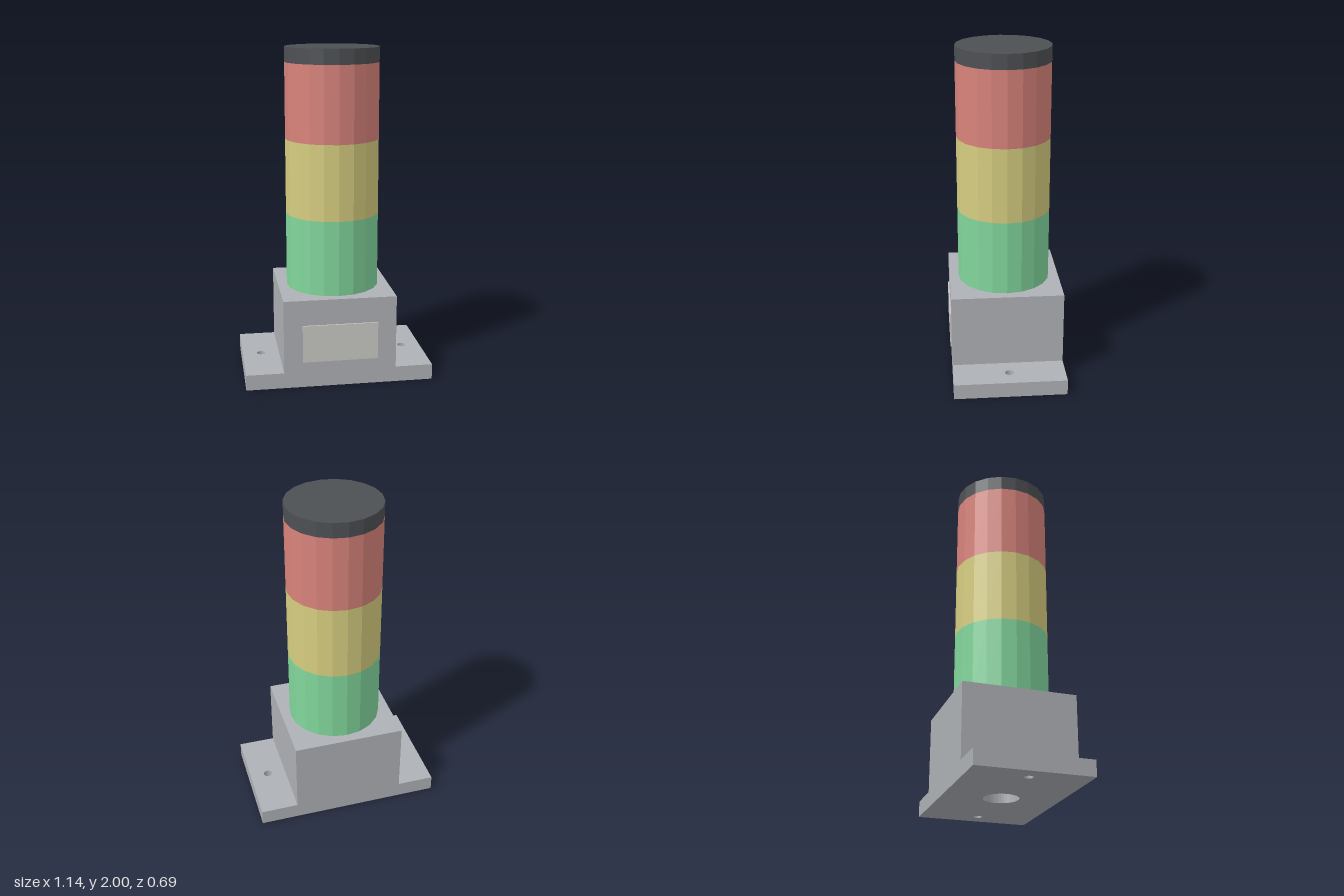
import * as THREE from 'three';

const paint = (name, color) => {
  const m = new THREE.MeshStandardMaterial({ color });
  m.name = name;
  return m;
};

export function createModel() {
  const grey = paint('housing grey', 0xaeb1b5);
  const plate = paint('plate ivory', 0xcac9c5);
  const green = paint('lamp green', 0x82d69c);
  const yellow = paint('lamp yellow', 0xd6cd80);
  const red = paint('lamp red', 0xd8837b);
  const dark = paint('cap charcoal', 0x4d5054);
  for (const m of [green, yellow, red, dark]) m.flatShading = true;

  const model = new THREE.Group();
  model.name = 'signalTower';
  const zMid = -0.005;

  const add = (name, geometry, material, x, y, z) => {
    const mesh = new THREE.Mesh(geometry, material);
    mesh.name = name;
    mesh.position.set(x, y, z);
    model.add(mesh);
  };

  // Slab lying flat from y0 to y1, with round holes given as [x, radius]
  const addSlab = (name, width, depth, y0, y1, holes) => {
    const w = width / 2, d = depth / 2;
    const shape = new THREE.Shape([
      new THREE.Vector2(-w, -d), new THREE.Vector2(w, -d),
      new THREE.Vector2(w, d), new THREE.Vector2(-w, d),
    ]);
    for (const [x, r] of holes) {
      shape.holes.push(new THREE.Path().absarc(x, 0, r, 0, Math.PI * 2, true));
    }
    const geometry = new THREE.ExtrudeGeometry(shape, {
      depth: y1 - y0, bevelEnabled: false, curveSegments: 20,
    });
    geometry.rotateX(-Math.PI / 2);
    add(name, geometry, grey, 0, y0, zMid);
  };

  // Mounting flange with screw holes and a cable hole running up the housing
  addSlab('mountingFlange', 1.136, 0.68, 0, 0.095, [[-0.453, 0.026], [0.453, 0.026], [0, 0.104]]);
  addSlab('housing', 0.68, 0.68, 0.095, 0.545, [[0, 0.104]]);

  // Thin blank plate on the front
  add('frontPlate', new THREE.BoxGeometry(0.454, 0.228, 0.009), plate, 0, 0.275, 0.3395);

  // Stacked lamps and cap
  const tiers = [
    ['greenLamp', green, 0.545, 1.0],
    ['yellowLamp', yellow, 1.0, 1.455],
    ['redLamp', red, 1.455, 1.91],
    ['topCap', dark, 1.91, 2.0],
  ];
  for (const [name, material, y0, y1] of tiers) {
    add(name, new THREE.CylinderGeometry(0.284, 0.284, y1 - y0, 20), material, 0, (y0 + y1) / 2, zMid);
  }
  return model;
}
